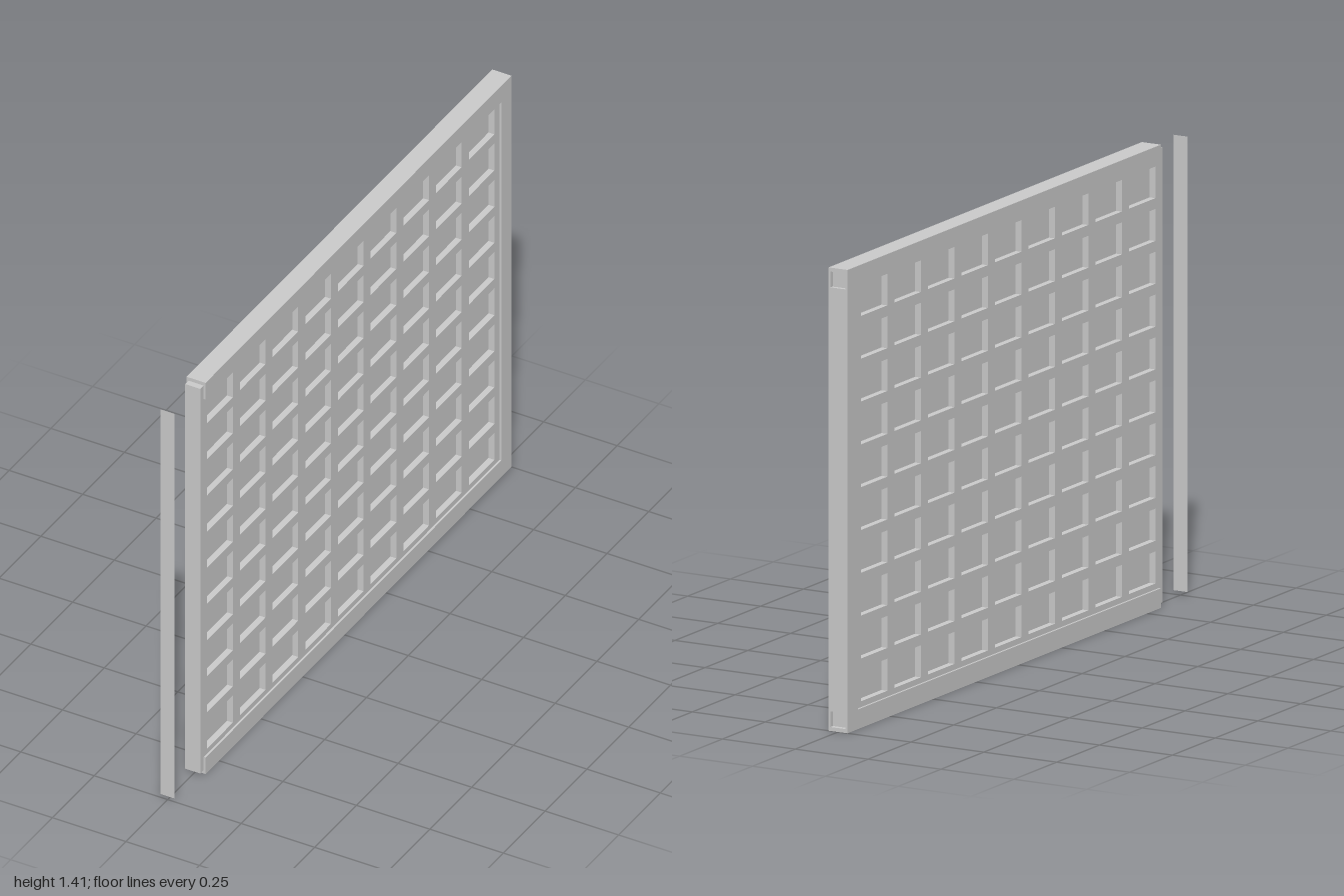
import * as THREE from 'three';

const H = 1.41, HALF = 0.0325, INNER = 0.026, WALL = 0.012, FLANGE = 0.06;
const FRONT = 0.83, BACK = -1;

const material = new THREE.MeshStandardMaterial({ color: 0xcccccc, flatShading: true });

function add(parent, name, geometry) {
  const mesh = new THREE.Mesh(geometry, material);
  mesh.name = name;
  parent.add(mesh);
  return mesh;
}

function polygon(points, Type = THREE.Shape) {
  return new Type(points.map(([x, y]) => new THREE.Vector2(x, y)));
}

const rect = (x0, y0, x1, y1) => [[x0, y0], [x1, y0], [x1, y1], [x0, y1]];

// U-shaped edge rail, opening towards +y, extruded along z
function channel(length) {
  const shape = polygon([
    [-HALF, 0], [HALF, 0], [HALF, FLANGE], [INNER, FLANGE],
    [INNER, WALL], [-INNER, WALL], [-INNER, FLANGE], [-HALF, FLANGE],
  ]);
  return new THREE.ExtrudeGeometry(shape, { depth: length, bevelEnabled: false });
}

// Sheet with a 9 x 10 array of windows; shape x runs along -z
function lattice(depth) {
  const shape = polygon(rect(-0.85, WALL, 0.985, H - WALL));
  for (let c = 0; c < 9; c++) {
    for (let r = 0; r < 10; r++) {
      const x = -0.809 + c * 0.1957, y = 0.078 + r * 0.1303;
      shape.holes.push(polygon(rect(x, y, x + 0.153, y + 0.0975), THREE.Path));
    }
  }
  const g = new THREE.ExtrudeGeometry(shape, { depth, bevelEnabled: false });
  return g.rotateY(Math.PI / 2);
}

export function createModel() {
  const model = new THREE.Group();
  model.name = 'gridPanel';

  // Thin core sheet with a lattice on each side
  const core = 0.006;
  const sheet = new THREE.BoxGeometry(core * 2, H - 2 * WALL, 1.835);
  add(model, 'coreSheet', sheet.translate(0, H / 2, -0.0675));
  const grid = lattice(INNER - core);
  add(model, 'leftLattice', grid).position.x = core;
  add(model, 'rightLattice', grid.clone()).position.x = -INNER;

  // Top and bottom rails
  const rail = channel(FRONT - BACK);
  add(model, 'bottomRail', rail).position.z = BACK;
  const top = add(model, 'topRail', rail.clone().rotateZ(Math.PI));
  top.position.set(0, H, BACK);

  // Upright rail closing the back edge, between the other two
  const post = channel(H - 2 * FLANGE).rotateX(Math.PI / 2);
  add(model, 'backRail', post).position.set(0, H - FLANGE, BACK);

  // Flat cover strip standing free ahead of the front edge
  const strip = add(model, 'coverStrip', new THREE.PlaneGeometry(0.048, H - 2 * WALL));
  strip.material = material.clone();
  strip.material.side = THREE.DoubleSide;
  strip.position.set(0, H / 2, 1);

  return model;
}
